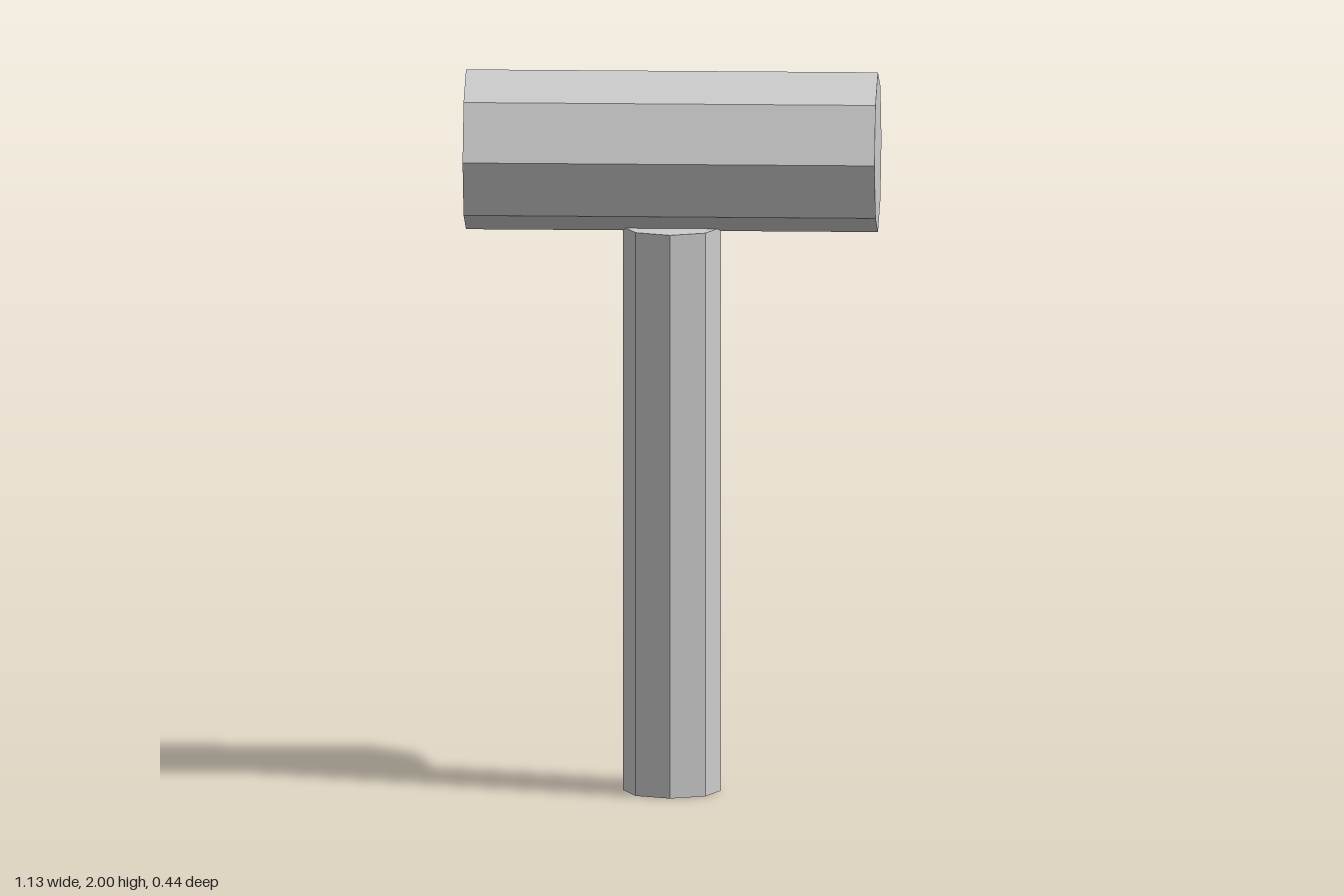
import * as THREE from 'three';

export function createModel() {
  const model = new THREE.Group();
  model.name = 'mallet';

  const grey = new THREE.MeshStandardMaterial({ color: 0xcccccc, flatShading: true });
  grey.name = 'light grey';

  // Closed eight-sided prism standing upright
  const octagonalBar = (name, radius, length) => {
    const bar = new THREE.Mesh(new THREE.CylinderGeometry(radius, radius, length, 8), grey);
    bar.name = name;
    model.add(bar);
    return bar;
  };

  // Upright handle, its top just meeting the underside of the head
  const handleLength = 1.566;
  octagonalBar('handle', 0.135, handleLength).position.y = handleLength / 2;

  // Head lying across the top, along x
  const headRadius = 0.222;
  const head = octagonalBar('head', headRadius, 1.13);
  head.rotation.z = Math.PI / 2;
  head.position.y = 2 - headRadius;

  return model;
}
